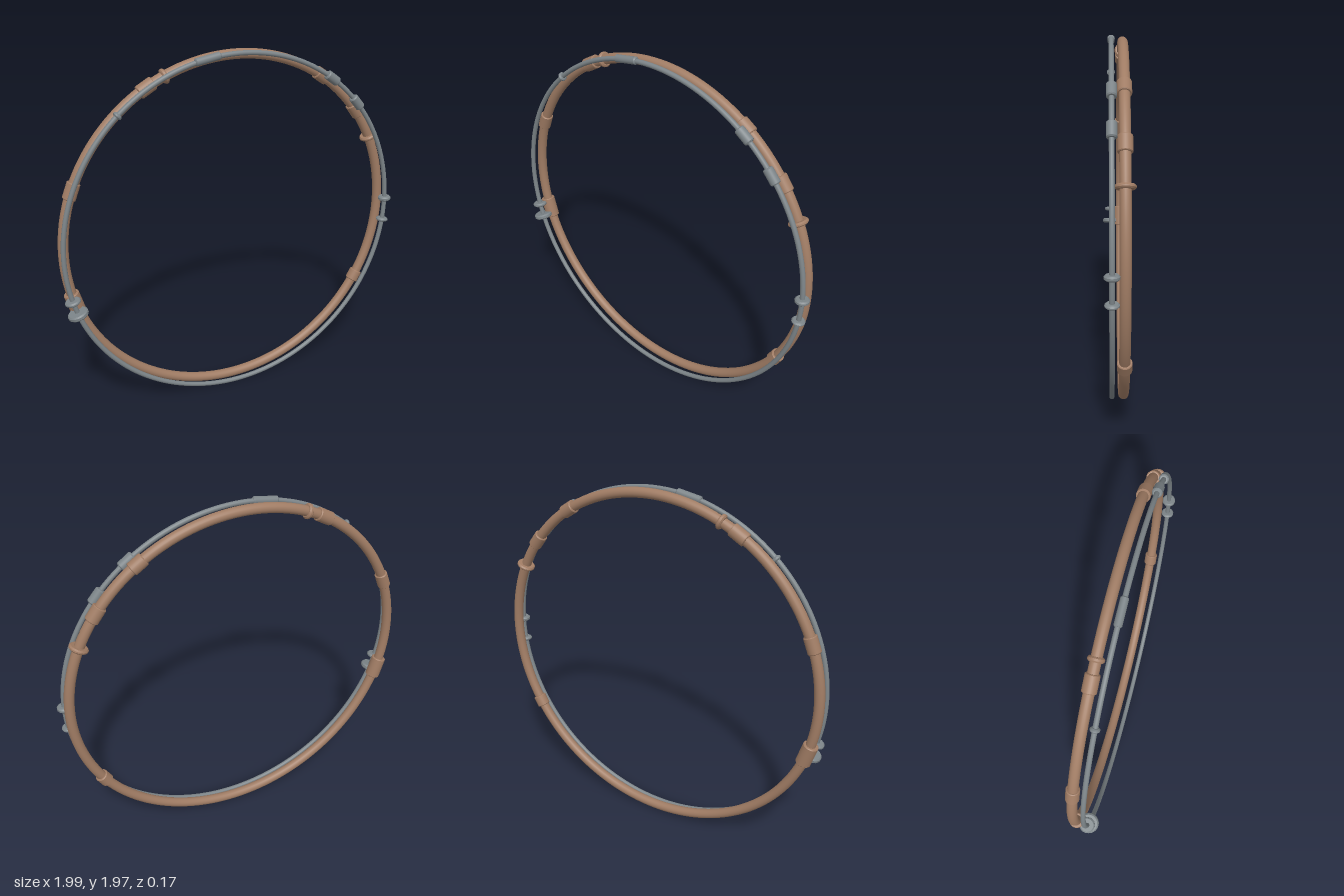
import * as THREE from 'three';

const CX = -0.012, CY = 0.985;
const brown = new THREE.MeshStandardMaterial({ color: 0xa07c64 });
const grey = new THREE.MeshStandardMaterial({ color: 0x7c8488 });

// Closed hoop made from a thin round tube
function hoop(name, ring) {
  const mesh = new THREE.Mesh(new THREE.TorusGeometry(ring.radius, ring.tube, 20, 160), ring.material);
  mesh.name = name;
  mesh.position.set(CX, CY, ring.z);
  return mesh;
}

// Collar with bevelled ends, threaded on a hoop at an angle in degrees
function collar(name, ring, angle, radius, length, bevel) {
  const h = length / 2;
  const profile = [
    [0, -h], [radius - bevel, -h], [radius - bevel, -h], [radius, -h + bevel], [radius, -h + bevel],
    [radius, h - bevel], [radius, h - bevel], [radius - bevel, h], [radius - bevel, h], [0, h],
  ].map(([x, y]) => new THREE.Vector2(x, y));
  const mesh = new THREE.Mesh(new THREE.LatheGeometry(profile, 28), ring.material);
  const a = THREE.MathUtils.degToRad(angle);
  mesh.name = name;
  mesh.position.set(CX + ring.radius * Math.cos(a), CY + ring.radius * Math.sin(a), ring.z);
  mesh.rotation.z = a;
  return mesh;
}

export function createModel() {
  const group = new THREE.Group();
  group.name = 'doubleHoop';
  const thick = { radius: 0.956, tube: 0.027, z: -0.033, material: brown };
  const thin = { radius: 0.97, tube: 0.013, z: 0.027, material: grey };

  group.add(hoop('thickHoop', thick), hoop('thinHoop', thin));

  // Sleeves on the thick hoop: angle, radius, length
  for (const [a, r, l] of [
    [56.2, 0.036, 0.08], [37.3, 0.036, 0.085], [-30.3, 0.037, 0.065],
    [119.7, 0.036, 0.09], [158.2, 0.035, 0.09], [196.1, 0.041, 0.125],
  ]) group.add(collar('thickHoopSleeve', thick, a, r, l, 0.004));

  // Flanges on the thick hoop
  for (const [a, r, l] of [[113.2, 0.04, 0.025], [25.4, 0.05, 0.022]])
    group.add(collar('thickHoopFlange', thick, a, r, l, 0.007));

  // Sleeves on the thin hoop
  for (const [a, r, l] of [[99.8, 0.02, 0.14], [54.3, 0.026, 0.085], [41, 0.026, 0.085]])
    group.add(collar('thinHoopSleeve', thin, a, r, l, 0.006));

  // Discs on the thin hoop
  for (const [a, r, l] of [
    [131.7, 0.024, 0.022], [1.6, 0.037, 0.025], [-6.4, 0.035, 0.02],
    [193.5, 0.042, 0.022], [198.2, 0.055, 0.028],
  ]) group.add(collar('thinHoopDisc', thin, a, r, l, 0.007));

  return group;
}
